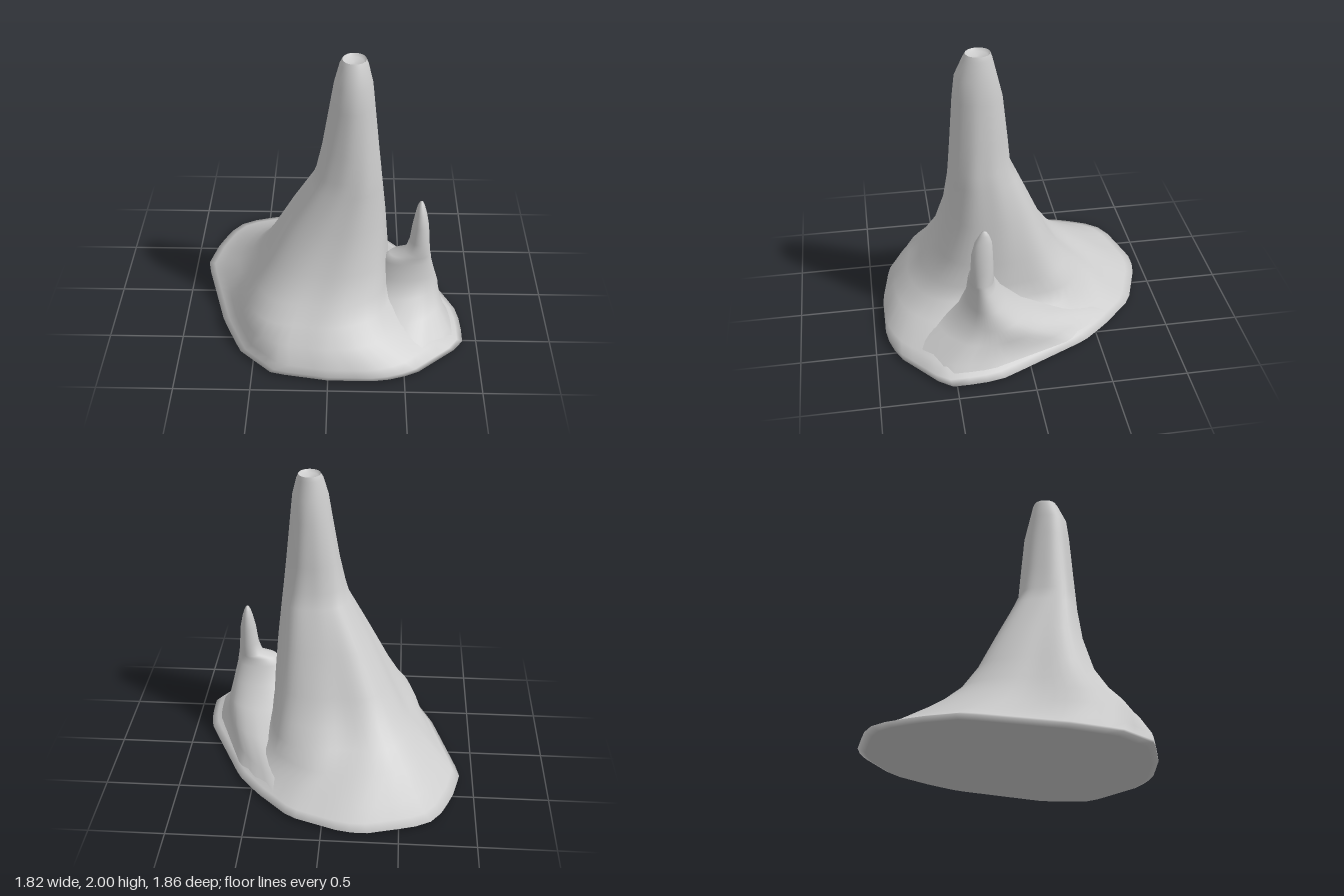
import * as THREE from 'three';

const SEG = 60;
const { smoothstep, lerp } = THREE.MathUtils;
const material = new THREE.MeshStandardMaterial({ color: 0xcccccc, side: THREE.DoubleSide });

// Corners of the rock's footprint as [x, z]
const footprint = [
  [0.91, 0.33], [0.91, 0.56], [0.57, 0.85], [0.35, 0.92], [0, 0.92], [-0.37, 0.86], [-0.6, 0.65],
  [-0.74, 0.34], [-0.92, -0.28], [-0.86, -0.53], [-0.75, -0.77], [-0.6, -0.85], [-0.3, -0.93],
  [-0.15, -0.93], [0.22, -0.8], [0.45, -0.58], [0.6, -0.4], [0.88, 0.18],
];

// Distance from the centre to the footprint, scaled to about 1, along angle t
function footprintRadius(t) {
  const c = Math.cos(t), s = Math.sin(t);
  for (let i = 0; i < footprint.length; i++) {
    const [ax, az] = footprint[i];
    const [bx, bz] = footprint[(i + 1) % footprint.length];
    const dx = bx - ax, dz = bz - az;
    const det = c * dz - s * dx;
    const r = (ax * dz - az * dx) / det;
    const k = (ax * s - az * c) / det;
    if (r > 0 && k >= -1e-6 && k <= 1 + 1e-6) return r / 0.925;
  }
  return 1;
}

// Point of a section (height, x range, z range) at angle t and relative radius r
function sectionPoint([y, x0, x1, z0, z1], t, r) {
  return [(x0 + x1 + r * Math.cos(t) * (x1 - x0)) / 2, y, (z0 + z1 + r * Math.sin(t) * (z1 - z0)) / 2];
}

// Mountain: footprint at the ground, squarish slopes, round at the summit
function mountainPoint(section, t) {
  const y = section[0];
  const n = lerp(3.5, 2, Math.min(1, y / 1.6));
  const square = (Math.abs(Math.cos(t)) ** n + Math.abs(Math.sin(t)) ** n) ** (-1 / n);
  const bump = 0.014 * smoothstep(y, 0.05, 0.3) * (1 - smoothstep(y, 1.2, 1.95));
  const waves = Math.sin(5 * t + 1) + 0.6 * Math.sin(9 * t + y * 4);
  const r = lerp(footprintRadius(t), square, smoothstep(y, 0.06, 0.34));
  return sectionPoint(section, t, r * (1 + bump * waves));
}

// Spire: footprint at the ground, elliptical above
function spirePoint(section, t) {
  return sectionPoint(section, t, lerp(footprintRadius(t), 1, smoothstep(section[0], 0.08, 0.3)));
}

// Same section shrunk about its own centre and moved to height y
function shrink([, x0, x1, z0, z1], k, y) {
  const mx = (x0 + x1) / 2, mz = (z0 + z1) / 2;
  return [y, lerp(mx, x0, k), lerp(mx, x1, k), lerp(mz, z0, k), lerp(mz, z1, k)];
}

// Smooth skin over a stack of sections
function loft(name, sections, pointAt) {
  const pos = [], index = [];
  sections.forEach((section, i) => {
    for (let j = 0; j < SEG; j++) {
      pos.push(...pointAt(section, (j / SEG) * Math.PI * 2));
      if (i === sections.length - 1) continue;
      const a = i * SEG + j, b = i * SEG + ((j + 1) % SEG);
      index.push(a, a + SEG, b, b, a + SEG, b + SEG);
    }
  });
  const geo = new THREE.BufferGeometry();
  geo.setAttribute('position', new THREE.Float32BufferAttribute(pos, 3));
  geo.setIndex(index);
  geo.computeVertexNormals();
  const mesh = new THREE.Mesh(geo, material);
  mesh.name = name;
  return mesh;
}

export function createModel() {
  const group = new THREE.Group();
  group.name = 'rockChimney';

  // Main mountain sections: height, x range, z range
  const mountain = [
    [0.02, -0.92, 0.92, -0.93, 0.93],
    [0.045, -0.87, 0.88, -0.87, 0.93],
    [0.1, -0.79, 0.78, -0.76, 0.92],
    [0.2, -0.67, 0.53, -0.59, 0.83],
    [0.3, -0.57, 0.42, -0.45, 0.73],
    [0.4, -0.5, 0.395, -0.34, 0.64],
    [0.57, -0.41, 0.385, -0.235, 0.545],
    [0.85, -0.27, 0.365, -0.12, 0.475],
    [1.12, -0.12, 0.34, -0.005, 0.445],
    [1.22, -0.09, 0.33, 0.04, 0.438],
    [1.4, -0.05, 0.31, 0.055, 0.425],
    [1.7, 0, 0.28, 0.085, 0.405],
    [1.85, 0.025, 0.265, 0.12, 0.388],
    [1.97, 0.058, 0.235, 0.148, 0.333],
    [2, 0.075, 0.222, 0.158, 0.316],
  ];
  const rim = mountain.at(-1);

  // The flat underside curls softly into the foot of the slope
  const base = mountain[0];
  const underside = [shrink(base, 0, 0), shrink(base, 0.95, 0)];
  group.add(loft('mountain', [...underside, ...mountain], mountainPoint));

  // Shallow crater in the summit
  group.add(loft('crater', [rim, shrink(rim, 0.8, 1.98), shrink(rim, 0, 1.975)], mountainPoint));

  // Side spire with a saddle towards the mountain and a skirt running out to the foot
  const spire = [
    [0.04, -0.6, 0.86, -0.78, 0.88],
    [0.1, -0.35, 0.82, -0.58, 0.8],
    [0.2, 0.05, 0.77, -0.22, 0.58],
    [0.3, 0.22, 0.74, 0, 0.44],
    [0.42, 0.3, 0.71, 0.13, 0.39],
    [0.54, 0.35, 0.682, 0.195, 0.375],
    [0.59, 0.4, 0.675, 0.21, 0.372],
    [0.61, 0.5, 0.67, 0.215, 0.37],
    [0.7, 0.53, 0.662, 0.217, 0.365],
    [0.82, 0.545, 0.653, 0.22, 0.358],
    [0.91, 0.563, 0.635, 0.225, 0.335],
    [0.96, 0.575, 0.62, 0.242, 0.305],
  ];
  const tip = spire.at(-1);
  spire.push(shrink(tip, 0.5, 0.985), shrink(tip, 0, 0.992));
  group.add(loft('sideSpire', spire, spirePoint));

  return group;
}
